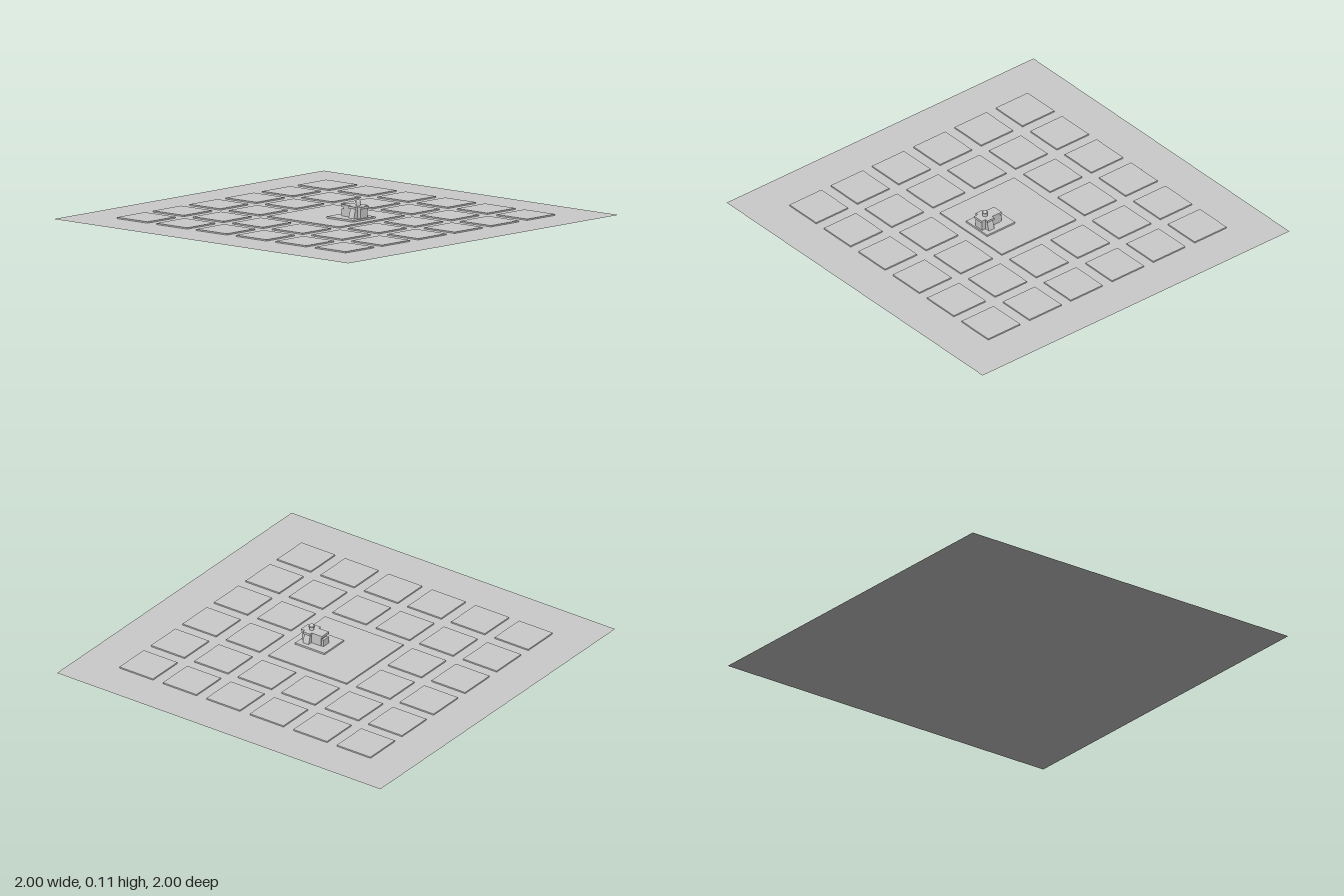
import * as THREE from 'three';

const grey = new THREE.MeshStandardMaterial({ color: 0xcccccc, flatShading: true, side: THREE.DoubleSide });

function add(parent, name, geometry, x = 0, y = 0, z = 0) {
  const mesh = new THREE.Mesh(geometry, grey);
  mesh.name = name;
  mesh.position.set(x, y, z);
  parent.add(mesh);
  return mesh;
}

// Box given by its limits on each axis
function box(parent, name, x0, x1, y0, y1, z0, z1) {
  return add(parent, name, new THREE.BoxGeometry(x1 - x0, y1 - y0, z1 - z0),
    (x0 + x1) / 2, (y0 + y1) / 2, (z0 + z1) / 2);
}

export function createModel() {
  const model = new THREE.Group();
  model.name = 'cityGrid';

  // Flat ground sheet
  add(model, 'ground', new THREE.PlaneGeometry(2, 2).rotateX(-Math.PI / 2));

  // Six by six city blocks; the middle four merge into one square
  const pitch = 0.269, half = 0.104, top = 0.007;
  const blocks = new THREE.Group();
  blocks.name = 'cityBlocks';
  model.add(blocks);
  for (let i = 0; i < 6; i++) {
    for (let j = 0; j < 6; j++) {
      if ((i === 2 || i === 3) && (j === 2 || j === 3)) continue;
      const x = (i - 2.5) * pitch, z = (j - 2.5) * pitch;
      box(blocks, 'cityBlock', x - half, x + half, 0, top, z - half, z + half);
    }
  }
  box(blocks, 'centralSquare', -0.242, 0.242, 0, top, -0.242, 0.242);

  // Domed building on its plinth
  const building = new THREE.Group();
  building.name = 'building';
  model.add(building);
  box(building, 'plinth', 0.017, 0.198, top, 0.016, -0.075, 0.09);
  box(building, 'nave', 0.073, 0.19, 0.016, 0.063, -0.026, 0.026);
  box(building, 'naveCornice', 0.066, 0.196, 0.063, 0.075, -0.03, 0.03);
  box(building, 'porch', 0.06, 0.075, 0.016, 0.052, -0.023, 0.023);

  // Cross wing with walls that lean in towards the roof
  const wing = new THREE.Shape([
    new THREE.Vector2(-0.052, 0.016), new THREE.Vector2(0.052, 0.016),
    new THREE.Vector2(0.038, 0.063), new THREE.Vector2(-0.038, 0.063)]);
  add(building, 'crossWing',
    new THREE.ExtrudeGeometry(wing, { depth: 0.036, bevelEnabled: false }).rotateY(Math.PI / 2), 0.132);
  box(building, 'crossWingCornice', 0.128, 0.172, 0.063, 0.075, -0.046, 0.046);

  // Round lantern tower with a small cap
  add(building, 'tower', new THREE.CylinderGeometry(0.011, 0.012, 0.02, 12), 0.15, 0.085, 0);
  add(building, 'towerCornice', new THREE.CylinderGeometry(0.016, 0.016, 0.004, 12), 0.15, 0.093, 0);
  add(building, 'dome', new THREE.SphereGeometry(0.012, 12, 6, 0, Math.PI * 2, 0, Math.PI / 2), 0.15, 0.095, 0);
  return model;
}
